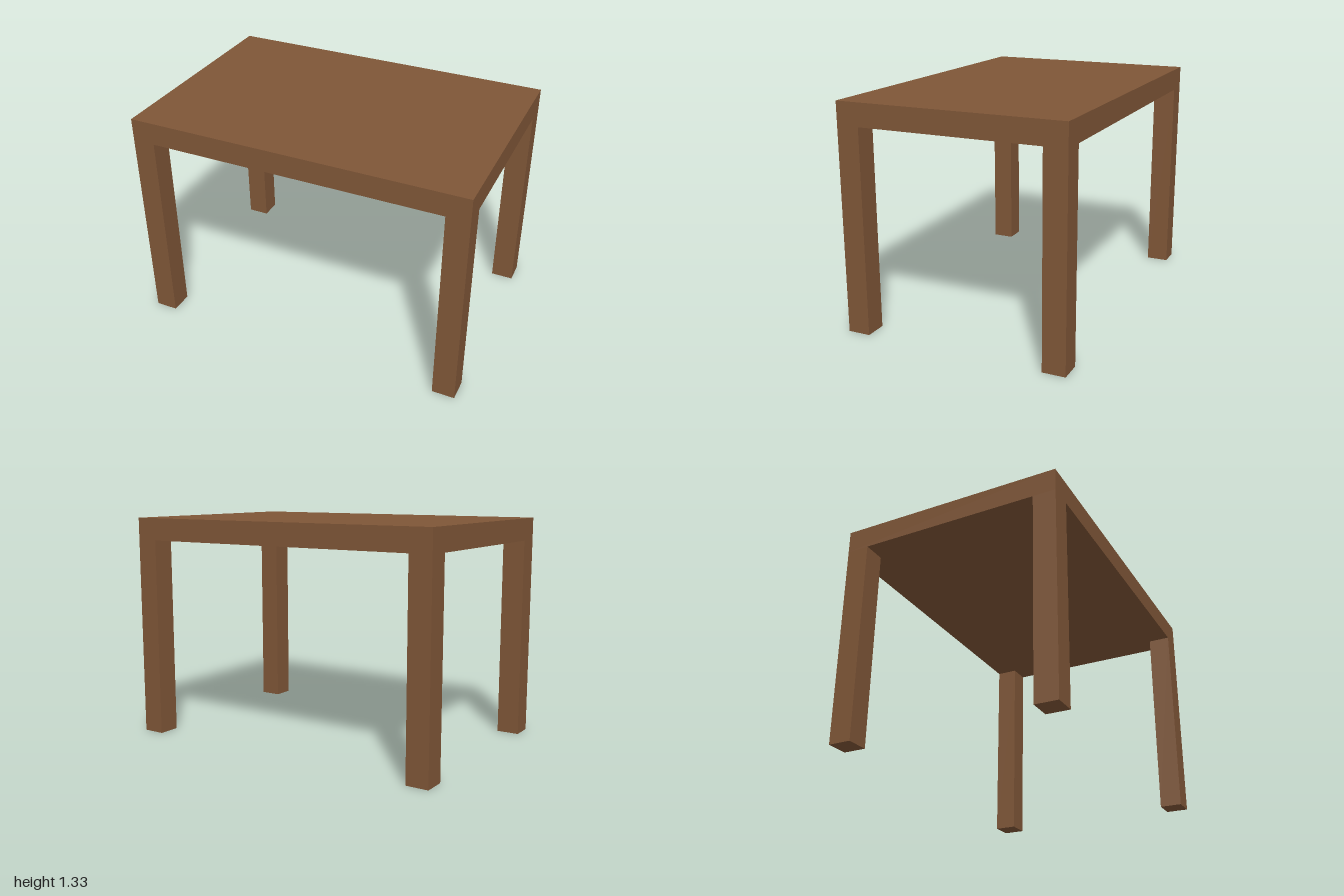
import * as THREE from 'three';

const WIDTH = 2, DEPTH = 4 / 3, HEIGHT = 4 / 3;
const THICK = 2 / 15; // top thickness and leg width

export function createModel() {
  const table = new THREE.Group();
  table.name = 'table';
  const wood = new THREE.MeshStandardMaterial({ color: 0x7f5637 });

  const addBox = (name, w, h, d, x, y, z) => {
    const mesh = new THREE.Mesh(new THREE.BoxGeometry(w, h, d), wood);
    mesh.name = name;
    mesh.position.set(x, y, z);
    table.add(mesh);
  };

  // Solid slab top
  addBox('tableTop', WIDTH, THICK, DEPTH, 0, HEIGHT - THICK / 2, 0);

  // Square legs flush with the corners
  const legHeight = HEIGHT - THICK;
  for (const [side, sx] of [['Left', 1], ['Right', -1]]) {
    for (const [end, sz] of [['front', 1], ['back', -1]]) {
      addBox(`${end}${side}Leg`, THICK, legHeight, THICK,
        sx * (WIDTH - THICK) / 2, legHeight / 2, sz * (DEPTH - THICK) / 2);
    }
  }
  return table;
}
